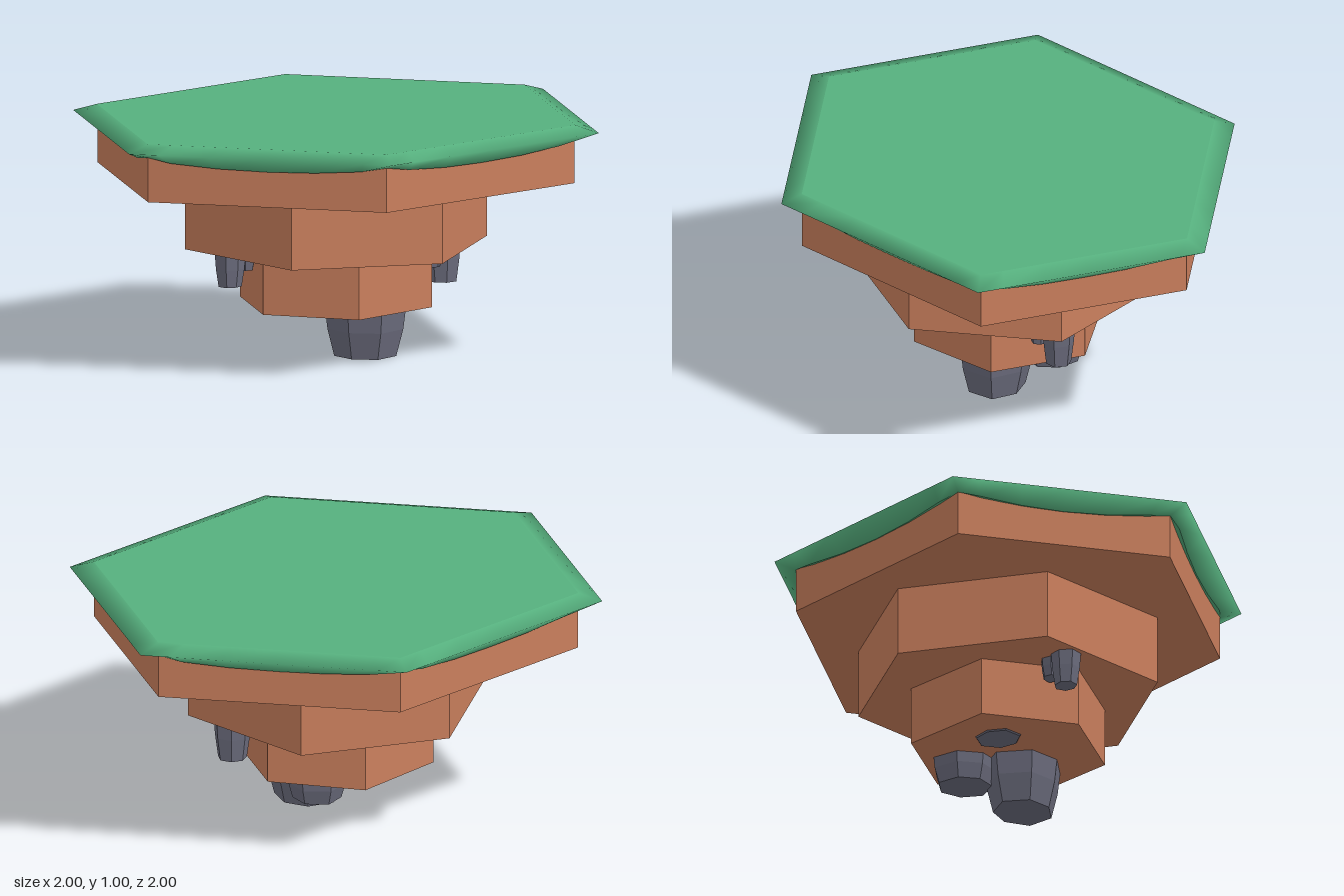
import * as THREE from 'three';

const mat = (name, color) => {
  const m = new THREE.MeshStandardMaterial({ color });
  m.name = name;
  return m;
};

// Point on the outline of a hexagon with corners at z = +-1 and (+-1, +-0.5)
const HEX = [[0, 1], [1, 0.5], [1, -0.5], [0, -1], [-1, -0.5], [-1, 0.5]];
const onHex = (edge, t, scale, y) => {
  const a = HEX[edge % 6], b = HEX[(edge + 1) % 6];
  return [(a[0] + (b[0] - a[0]) * t) * scale, y, (a[1] + (b[1] - a[1]) * t) * scale];
};

// Skin between successive rings of points, smooth across the rings
function skin(rings) {
  const n = rings[0].length, index = [];
  for (let r = 0; r < rings.length - 1; r++) {
    for (let i = 0; i < n; i++) {
      const j = (i + 1) % n, a = r * n + i, b = r * n + j, c = a + n, d = b + n;
      index.push(a, c, b, b, c, d);
    }
  }
  const g = new THREE.BufferGeometry();
  g.setAttribute('position', new THREE.Float32BufferAttribute(rings.flat(2), 3));
  g.setIndex(index);
  g.computeVertexNormals();
  return g;
}

const flat = (g) => {
  const f = g.toNonIndexed();
  f.computeVertexNormals();
  return f;
};

export function createModel() {
  const model = new THREE.Group();
  model.name = 'floatingIsland';
  const grass = mat('grass green', 0x56b07e);
  const dirt = mat('dirt brown', 0xca7f5d);
  const stone = mat('stone grey', 0x6c6d7e);

  const add = (name, geometry, material, parent = model) => {
    const mesh = new THREE.Mesh(geometry, material);
    mesh.name = name;
    parent.add(mesh);
    return mesh;
  };

  // Stepped dirt tiers: [name, bottom, top, radius, x stretch, first corner angle]
  const tiers = [
    ['upperDirt', 0.755, 0.965, 0.908, 1 / Math.cos(Math.PI / 6), 0],
    ['middleDirt', 0.46, 0.755, 0.642, 1, Math.PI / 6],
    ['lowerDirt', 0.21, 0.46, 0.415, 1, 0],
  ];
  for (const [name, y0, y1, r, stretch, turn] of tiers) {
    const g = new THREE.CylinderGeometry(r, r, y1 - y0, 6, 1, false, turn);
    g.scale(stretch, 1, 1);
    g.translate(0, (y0 + y1) / 2, 0);
    add(name, flat(g), dirt);
  }

  // Grass rim: bevel, outer ridge, and a lower lip that sags along each edge
  const lip = [[0, 0.91, 0.943], [0.11, 0.93, 0.926], [0.3, 0.92, 0.91],
    [0.5, 0.915, 0.905], [0.7, 0.92, 0.91], [0.89, 0.93, 0.926]];
  const inner = [], ridge = [], lower = [], under = [];
  for (let e = 0; e < 6; e++) {
    for (const [t, scale, y] of lip) {
      inner.push(onHex(e, t, 0.91, 1));
      ridge.push(onHex(e, t, 1, 0.97));
      lower.push(onHex(e, t, scale, y));
      under.push(onHex(e, t, 0.9, y + 0.005));
    }
  }
  add('grassRim', skin([inner, ridge, lower]), grass);
  add('grassUnderside', flat(skin([lower, under])), grass);

  // Flat hexagonal lawn
  const lawn = new THREE.ShapeGeometry(
    new THREE.Shape(HEX.map(([x, z]) => new THREE.Vector2(x * 0.91, -z * 0.91))));
  lawn.rotateX(-Math.PI / 2);
  lawn.translate(0, 1, 0);
  add('grassTop', lawn, grass);

  // Hanging stones: [x, z, bottom, top, top radius, bottom radius, turn]
  const rocks = [
    [0.1, 0.09, 0, 0.23, 0.17, 0.128, 0.2],
    [0.13, -0.15, 0.1, 0.23, 0.135, 0.11, 0.6],
    [-0.145, -0.08, 0.204, 0.23, 0.1, 0.09, 0.3],
    [0.465, -0.05, 0.27, 0.47, 0.077, 0.058, 0.1],
    [0.405, 0.01, 0.345, 0.47, 0.048, 0.035, 0.5],
    [0.44, 0.055, 0.42, 0.47, 0.062, 0.045, 0.9],
    [-0.48, 0.12, 0.32, 0.47, 0.065, 0.048, 0.4],
    [-0.41, 0.08, 0.38, 0.47, 0.05, 0.038, 0.8],
  ];
  const stones = new THREE.Group();
  stones.name = 'hangingStones';
  model.add(stones);
  rocks.forEach(([x, z, y0, y1, rTop, rBottom, turn], k) => {
    const g = new THREE.CylinderGeometry(rTop, rBottom, y1 - y0, 7, 2, false, turn);
    const p = g.attributes.position;
    for (let i = 0; i < p.count; i++) {
      // Uneven sides, fuller at the middle ring
      const angle = Math.atan2(p.getX(i), p.getZ(i));
      const bulge = Math.abs(p.getY(i)) < 1e-4 ? 1.05 : 1;
      const s = bulge * (1 + 0.07 * Math.sin(angle * 2 + k * 1.7));
      p.setX(i, p.getX(i) * s);
      p.setZ(i, p.getZ(i) * s);
    }
    g.translate(x, (y0 + y1) / 2, z);
    add('stone' + (k + 1), flat(g), stone, stones);
  });

  return model;
}
